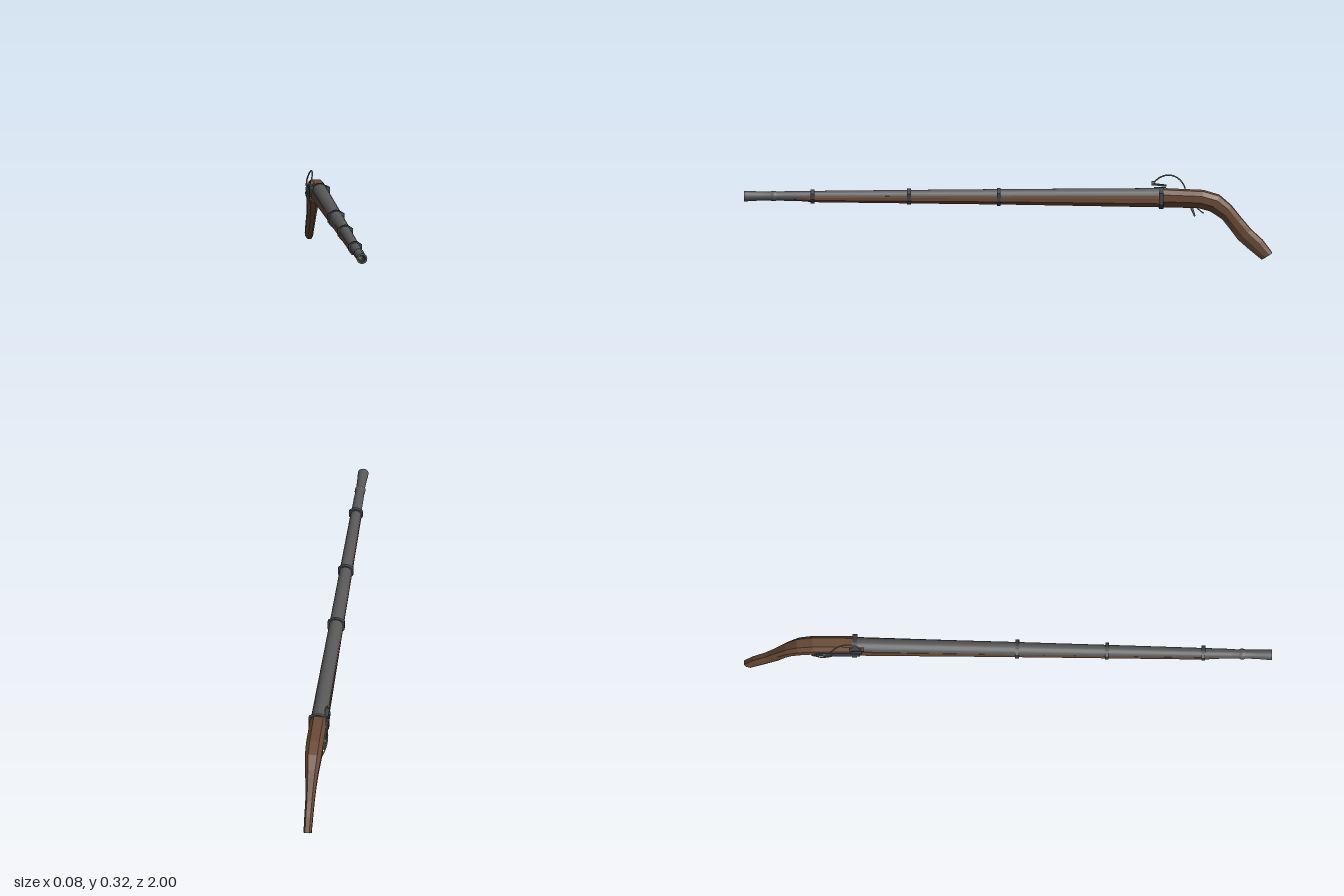
import * as THREE from 'three';

const mat = (name, color, opts = {}) => {
  const m = new THREE.MeshStandardMaterial({ color, ...opts });
  m.name = name;
  return m;
};

// Loft of eight-sided rings; each section is [topZ, topY, bottomZ, bottomY, halfWidth, topFlat]
function loft(sections) {
  const pos = [], idx = [], n = 8;
  for (const [tz, ty, bz, by, w, flat] of sections) {
    const half = [[0.45, 0], [1, 0.36], [1, 0.75], [flat, 1]];
    const ring = [...half, ...half.map(([u, v]) => [-u, v]).reverse()];
    for (const [u, v] of ring) pos.push(u * w, by + (ty - by) * v, bz + (tz - bz) * v);
  }
  const last = (sections.length - 1) * n;
  for (let i = 0; i < last; i += n) {
    for (let j = 0; j < n; j++) {
      const k = (j + 1) % n;
      idx.push(i + j, i + n + j, i + n + k, i + j, i + n + k, i + k);
    }
  }
  for (let j = 1; j < n - 1; j++) idx.push(0, j, j + 1, last, last + j + 1, last + j);
  const g = new THREE.BufferGeometry();
  g.setAttribute('position', new THREE.Float32BufferAttribute(pos, 3));
  g.setIndex(idx);
  const flatGeo = g.toNonIndexed();
  flatGeo.computeVertexNormals();
  return flatGeo;
}

const tube = (pts, r, seg = 28) => new THREE.TubeGeometry(
  new THREE.CatmullRomCurve3(pts.map(p => new THREE.Vector3(...p))), seg, r, 6);

export function createModel() {
  const root = new THREE.Group();
  root.name = 'musket';
  const wood = mat('wood', 0x6a4a35, { flatShading: true });
  const iron = mat('iron', 0x5a5a5b);
  const darkIron = mat('dark iron', 0x404446, { flatShading: true });
  const bore = mat('bore', 0x333335);
  const tan = mat('aged brass', 0x7d715c);
  const steel = mat('steel', 0xa5a7a8);

  const add = (name, geo, material, x = 0, y = 0, z = 0) => {
    const m = new THREE.Mesh(geo, material);
    m.name = name;
    m.position.set(x, y, z);
    root.add(m);
    return m;
  };

  // Stock: fore-end, breech step, wrist and down-curved butt
  add('stock', loft([
    [0.83, 0.243, 0.81, 0.228, 0.016, 0.95],
    [0.74, 0.246, 0.74, 0.222, 0.021, 0.95],
    [0.0, 0.249, 0.0, 0.213, 0.027, 0.95],
    [-0.58, 0.25, -0.58, 0.203, 0.033, 0.95],
    [-0.585, 0.271, -0.585, 0.203, 0.033, 0.55],
    [-0.74, 0.264, -0.72, 0.200, 0.033, 0.55],
    [-0.80, 0.246, -0.765, 0.187, 0.031, 0.55],
    [-0.845, 0.207, -0.81, 0.157, 0.025, 0.55],
    [-0.885, 0.157, -0.84, 0.118, 0.020, 0.55],
    [-0.92, 0.115, -0.87, 0.077, 0.017, 0.55],
    [-0.965, 0.073, -0.915, 0.037, 0.016, 0.55],
    [-1.0, 0.025, -0.96, 0.0, 0.015, 0.55],
  ]), wood);

  // Barrel with collar, flared muzzle and recessed bore
  const profile = [[0.001, -0.59], [0.030, -0.59], [0.0265, 0.0], [0.022, 0.5], [0.0185, 0.84],
    [0.0165, 0.875], [0.020, 0.88], [0.020, 0.893], [0.0165, 0.90], [0.018, 0.95], [0.020, 0.985],
    [0.020, 1.0], [0.013, 1.0]];
  const barrel = [];
  profile.forEach((p, i) => {
    barrel.push(new THREE.Vector2(...p));
    // doubled points keep the end rims crisp
    if (i === 1 || i === 11) barrel.push(new THREE.Vector2(p[0], p[1] + 0.0002 * (i === 1 ? 1 : 0)));
  });
  add('barrel', new THREE.LatheGeometry(barrel, 20), iron, 0, 0.244, 0).rotation.x = Math.PI / 2;
  const boreGeo = new THREE.LatheGeometry(
    [[0.013, 1.0], [0.013, 0.94], [0.007, 0.935], [0.0001, 0.935]].map(p => new THREE.Vector2(...p)), 20);
  add('bore', boreGeo, bore, 0, 0.244, 0).rotation.x = Math.PI / 2;

  // Bands around barrel and stock: [z, barrel radius, half width, bottom y, depth]
  for (const [z, r, w, bottom, d] of [
    [0.74, 0.025, 0.026, 0.217, 0.014], [0.375, 0.028, 0.029, 0.213, 0.014],
    [0.035, 0.030, 0.032, 0.208, 0.014], [-0.58, 0.032, 0.039, 0.198, 0.018],
  ]) {
    const s = new THREE.Shape();
    const cy = 0.244;
    s.moveTo(-w * 0.5, bottom);
    s.lineTo(w * 0.5, bottom);
    s.lineTo(w, bottom + 0.018);
    s.lineTo(w, cy + r * 0.5);
    for (const a of [50, 70, 90, 110, 130]) {
      const t = a * Math.PI / 180;
      s.lineTo(Math.cos(t) * r, cy + Math.sin(t) * r);
    }
    s.lineTo(-w, cy + r * 0.5);
    s.lineTo(-w, bottom + 0.018);
    s.closePath();
    add('band', new THREE.ExtrudeGeometry(s, { depth: d, bevelEnabled: false }), darkIron, 0, 0, z - d / 2);
  }

  // Lock plate on the right side, pointed at the rear
  const plate = new THREE.Shape([[0.56, 0.226], [0.69, 0.218], [0.735, 0.227], [0.70, 0.25], [0.56, 0.258]]
    .map(p => new THREE.Vector2(...p)));
  add('lockPlate', new THREE.ExtrudeGeometry(plate, { depth: 0.006, bevelEnabled: false }), darkIron, -0.032, 0, 0)
    .rotation.y = Math.PI / 2;
  root.children.at(-1).position.x = -0.038;
  add('lockScrew', new THREE.CylinderGeometry(0.007, 0.007, 0.004, 10), steel, -0.039, 0.236, -0.695)
    .rotation.z = Math.PI / 2;

  // Priming pan and its cover
  add('pan', new THREE.BoxGeometry(0.014, 0.016, 0.045), darkIron, -0.034, 0.262, -0.575);
  add('panCover', new THREE.BoxGeometry(0.014, 0.006, 0.055), darkIron, -0.031, 0.281, -0.572)
    .rotation.x = -0.12;

  // Serpentine arm arching over the pan, with clamp
  add('serpentine', tube([
    [-0.041, 0.235, -0.655], [-0.041, 0.262, -0.67], [-0.037, 0.288, -0.66], [-0.030, 0.312, -0.635],
    [-0.027, 0.319, -0.605], [-0.029, 0.31, -0.575], [-0.033, 0.292, -0.555], [-0.034, 0.283, -0.548],
  ], 0.0028), tan);
  add('serpentineClamp', new THREE.BoxGeometry(0.008, 0.016, 0.012), tan, -0.033, 0.286, -0.55);

  // Lever below the lock and the small trigger under the wrist
  add('lever', tube([
    [-0.041, 0.238, -0.655], [-0.042, 0.222, -0.685], [-0.034, 0.198, -0.71],
    [-0.024, 0.182, -0.728], [-0.018, 0.173, -0.742],
  ], 0.0025, 16), tan);
  const trigger = add('trigger', new THREE.CylinderGeometry(0.006, 0.003, 0.04, 6), tan, 0, 0.185, -0.70);
  trigger.rotation.x = 0.35;

  root.children.forEach(m => { m.position.x += 0.002; });
  return root;
}
